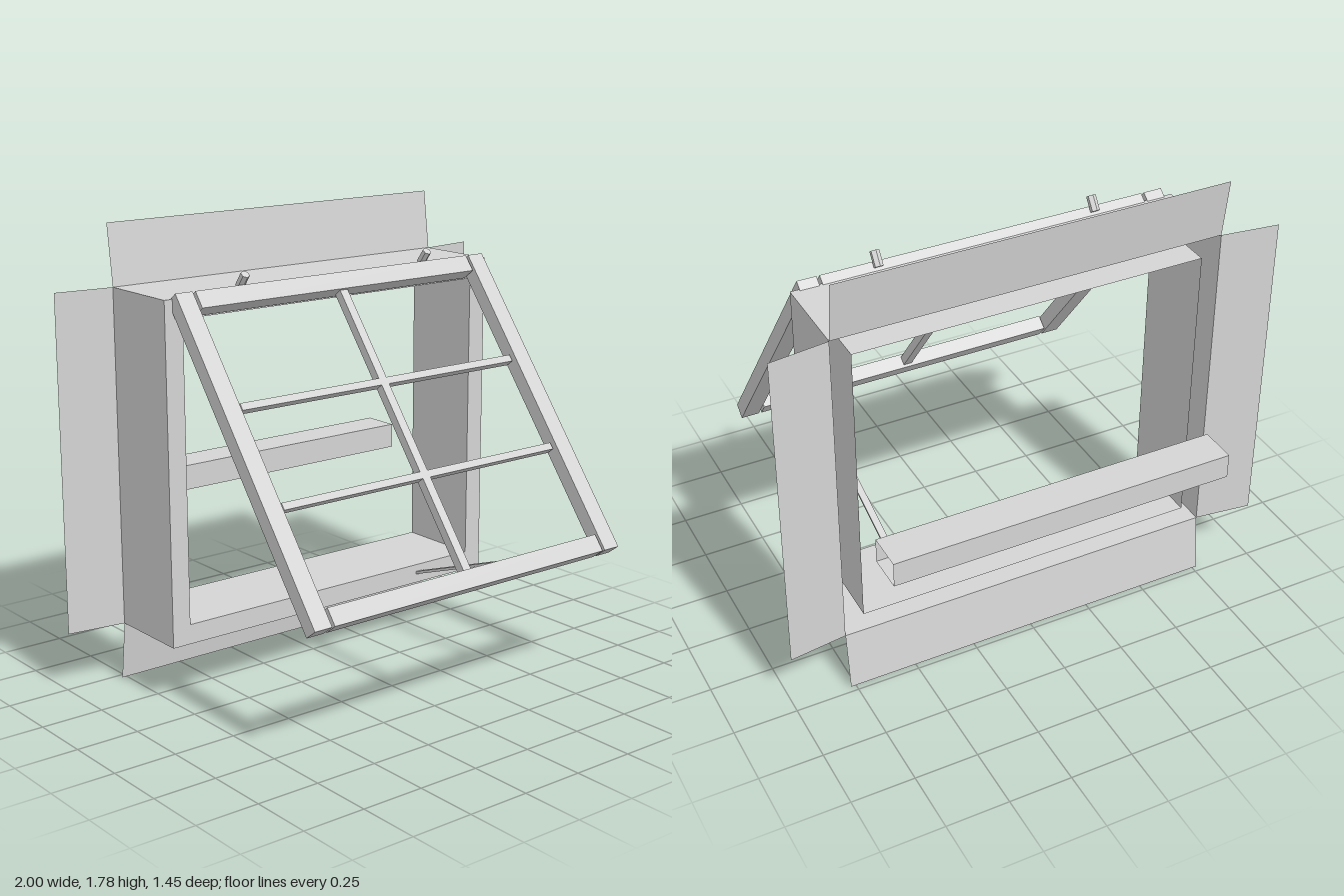
import * as THREE from 'three';

const X = 0.77, Y0 = 0.235, Y1 = 1.55, BACK = -0.445, FRONT = -0.1;

// Flat-shaded skin from a list of quads (four corners each)
function skin(quads) {
  const pos = [];
  for (const [a, b, c, d] of quads) pos.push(...a, ...b, ...c, ...a, ...c, ...d);
  const g = new THREE.BufferGeometry();
  g.setAttribute('position', new THREE.Float32BufferAttribute(pos, 3));
  g.computeVertexNormals();
  return g;
}

// Quads joining successive four-cornered rings
function loft(rings) {
  const quads = [];
  for (let r = 0; r < rings.length - 1; r++) {
    const A = rings[r], B = rings[r + 1];
    for (let i = 0; i < 4; i++) {
      const j = (i + 1) % 4;
      quads.push([A[i], A[j], B[j], B[i]]);
    }
  }
  return skin(quads);
}

// Rectangle ring of the box, inset by t, at depth z
const boxRing = (t, z) => [
  [-X + t, Y0 + t, z], [X - t, Y0 + t, z], [X - t, Y1 - t, z], [-X + t, Y1 - t, z],
];

export function createModel() {
  const model = new THREE.Group();
  const grey = new THREE.MeshStandardMaterial({ color: 0xd4d4d4 });
  grey.name = 'light grey';
  const sheetGrey = grey;
  sheetGrey.side = THREE.DoubleSide;

  function add(parent, name, geometry) {
    const m = new THREE.Mesh(geometry, grey);
    m.name = name;
    parent.add(m);
    return m;
  }
  // Box given by its minimum and maximum corners
  function bar(parent, name, x0, x1, y0, y1, z0, z1) {
    const m = add(parent, name, new THREE.BoxGeometry(x1 - x0, y1 - y0, z1 - z0));
    m.position.set((x0 + x1) / 2, (y0 + y1) / 2, (z0 + z1) / 2);
    return m;
  }

  // Window box: outer walls, front rim and inner walls, open at the back
  add(model, 'windowBox', loft([
    boxRing(0, BACK), boxRing(0, FRONT), boxRing(0.077, FRONT), boxRing(0.077, BACK),
  ]));

  // Four thin flanges leaning slightly backwards
  const f = 0.235, zf = BACK - 0.03;
  for (const s of [-1, 1]) {
    add(model, s > 0 ? 'leftFlange' : 'rightFlange', skin([[
      [s * X, Y0, BACK], [s * (X + 0.23), Y0, zf], [s * (X + 0.23), Y1, zf], [s * X, Y1, BACK],
    ].slice()[s > 0 ? 'slice' : 'reverse']()]));
  }
  add(model, 'topFlange', skin([[
    [-X, Y1, BACK], [X, Y1, BACK], [X, Y1 + f, zf], [-X, Y1 + f, zf],
  ]]));
  add(model, 'bottomFlange', skin([[
    [-X, Y0 - f, zf], [X, Y0 - f, zf], [X, Y0, BACK], [-X, Y0, BACK],
  ]]));

  // Inner sill: hollow tube with open ends
  const sillRing = x => [[x, 0.67, -0.73], [x, 0.77, -0.73], [x, 0.77, -0.58], [x, 0.67, -0.58]];
  add(model, 'innerSill', loft([sillRing(-0.69), sillRing(0.69)]));

  // Tilted sash, built hanging down from its top front edge
  const sash = new THREE.Group();
  sash.name = 'sash';
  sash.position.set(0, 1.573, -0.08);
  sash.rotation.x = -0.658;
  model.add(sash);
  const L = 1.31, T = 0.06, R = 0.07;
  for (const s of [-1, 1]) {
    const m = bar(sash, 'sashStile', 0.662, 0.736, -L, 0, -T, 0);
    m.position.x *= s;
  }
  bar(sash, 'topRail', -0.65, 0.65, -R, 0, -T, 0);
  bar(sash, 'bottomRail', -0.65, 0.65, -L, -L + R, -T, 0);
  bar(sash, 'verticalGlazingBar', -0.018, 0.018, -L + R, -R, -0.048, -0.012);
  for (const s of [0.462, 0.852])
    bar(sash, 'horizontalGlazingBar', -0.65, 0.65, -s - 0.014, -s + 0.014, -0.048, -0.012);

  // Hinge pins on the top edge
  for (const x of [-0.437, 0.437]) {
    const pin = add(model, 'hingePin',
      new THREE.CylinderGeometry(0.018, 0.018, 0.06, 6).toNonIndexed());
    pin.geometry.computeVertexNormals();
    pin.position.set(x, 1.588, -0.09);
    pin.rotation.x = 0.64;
  }

  // Stay rod propping the sash open
  const a = new THREE.Vector3(0.435, 0.275, -0.105), b = new THREE.Vector3(0.435, 0.54, 0.65);
  const rod = add(model, 'stayRod', new THREE.BoxGeometry(0.028, 0.011, a.distanceTo(b)));
  rod.position.copy(a).lerp(b, 0.5);
  rod.rotation.x = -Math.atan2(b.y - a.y, b.z - a.z);

  return model;
}
